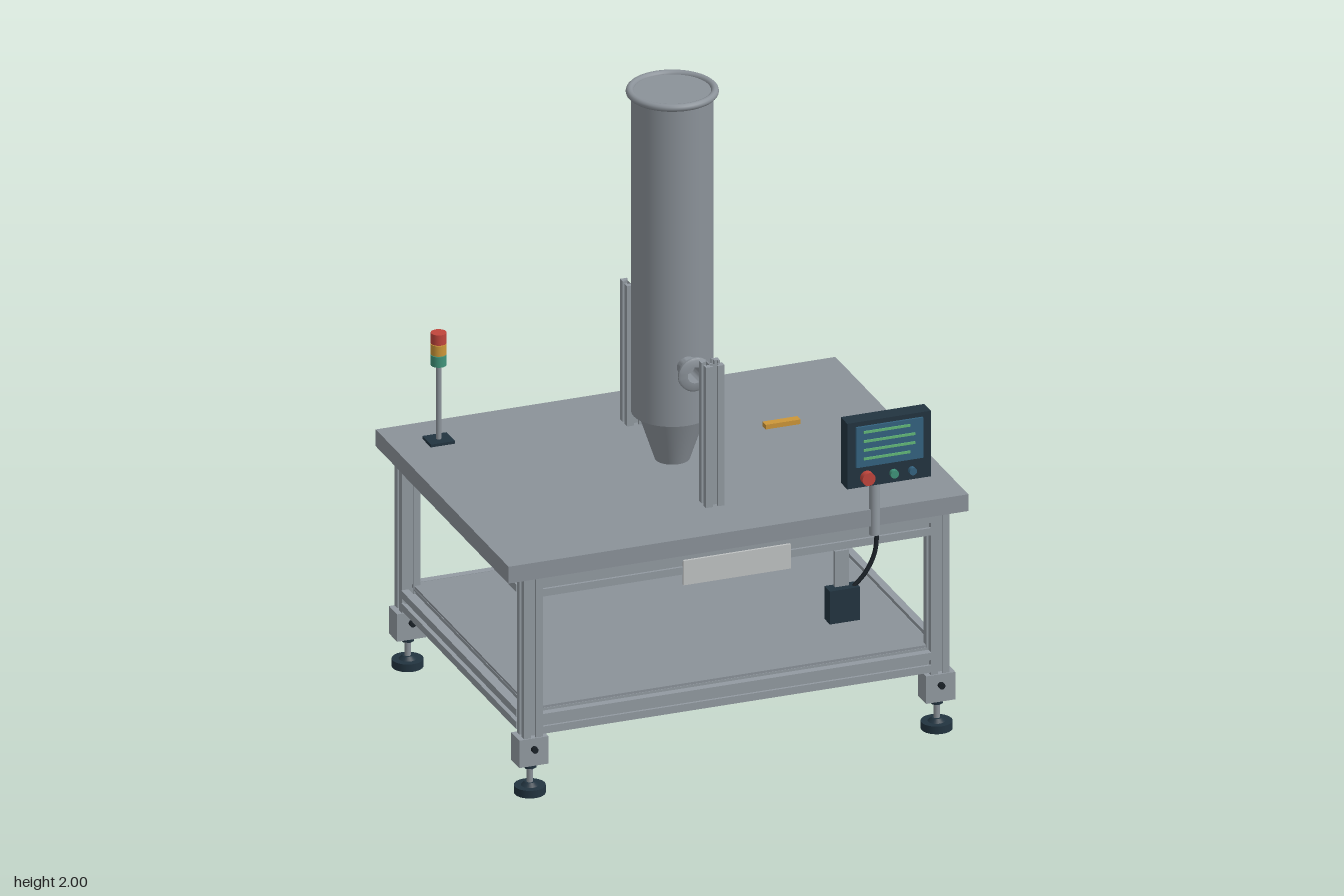
import * as THREE from 'three';
import { toCreasedNormals } from 'three/addons/utils/BufferGeometryUtils.js';

const mat = (name, color) => {
  const m = new THREE.MeshStandardMaterial({ color });
  m.name = name;
  return m;
};

export function createModel() {
  const aluminium = mat('aluminium', 0x929aa1);
  const steel = mat('steel', 0x8b9299);
  const dark = mat('dark plastic', 0x223440);
  const blue = mat('cabinet blue', 0x33627f);
  const pale = mat('pale panel', 0xbfc2c2);
  const red = mat('signal red', 0xc0453c);
  const amber = mat('signal amber', 0xcc9638);
  const green = mat('signal green', 0x3f9379);
  const lime = mat('display green', 0x62b878);
  const black = mat('black', 0x1a2127);

  const root = new THREE.Group();
  const add = (name, geo, m, x = 0, y = 0, z = 0, parent = root) => {
    const mesh = new THREE.Mesh(geo, m);
    mesh.name = name;
    mesh.position.set(x, y, z);
    parent.add(mesh);
    return mesh;
  };
  // box given by its min and max on each axis
  const box = (name, m, x0, x1, y0, y1, z0, z1) =>
    add(name, new THREE.BoxGeometry(x1 - x0, y1 - y0, z1 - z0), m,
      (x0 + x1) / 2, (y0 + y1) / 2, (z0 + z1) / 2);
  // upright cylinder between two heights
  const cyl = (name, m, rTop, rBottom, x, y0, y1, z, sides = 32) =>
    add(name, new THREE.CylinderGeometry(rTop, rBottom, y1 - y0, sides), m, x, (y0 + y1) / 2, z);
  // short cylinder facing the front or back
  const knob = (name, m, r, x, y, z0, z1) => {
    const k = add(name, new THREE.CylinderGeometry(r, r, z1 - z0, 24), m, x, y, (z0 + z1) / 2);
    k.rotation.x = Math.PI / 2;
    return k;
  };

  // slotted extrusion: one slot on each of four sides and a centre bore
  const profileShape = (size) => {
    const h = size / 2, a = size * 0.13, b = size * 0.22, d = h * 0.76, e = h * 0.42;
    const side = [[-h, h], [-a, h], [-a, d], [-b, d], [-b, e], [b, e], [b, d], [a, d], [a, h]];
    const pts = [];
    for (let i = 0; i < 4; i++) {
      const c = Math.cos(-i * Math.PI / 2), s = Math.sin(-i * Math.PI / 2);
      for (const [x, y] of side) pts.push(new THREE.Vector2(x * c - y * s, x * s + y * c));
    }
    const shape = new THREE.Shape(pts);
    shape.holes.push(new THREE.Path().absarc(0, 0, size * 0.07, 0, Math.PI * 2, true));
    return shape;
  };
  const beam = (name, axis, length, x, y, z, size = 0.06) => {
    const g = new THREE.ExtrudeGeometry(profileShape(size),
      { depth: length, bevelEnabled: false, curveSegments: 4 });
    g.translate(0, 0, -length / 2);
    if (axis === 'x') g.rotateY(Math.PI / 2);
    if (axis === 'y') g.rotateX(Math.PI / 2);
    return add(name, g, aluminium, x, y, z);
  };

  // table top, frame and shelf
  const zF = 0.437, zB = -0.57, zMid = (zF + zB) / 2, xLeg = 0.655;
  box('tableTop', steel, -0.74, 0.74, 0.715, 0.77, -0.615, 0.48);
  for (const y of [0.682, 0.232]) {
    for (const z of [zF, zB]) beam('longRail', 'x', 1.25, 0, y, z, 0.065);
    for (const x of [-xLeg, xLeg]) beam('sideRail', 'z', zF - zB - 0.06, x, y, zMid, 0.065);
  }
  box('shelf', steel, -0.645, 0.645, 0.26, 0.272, zB + 0.01, zF - 0.01);

  // legs with levelling feet
  for (const x of [-xLeg, xLeg]) for (const z of [zF, zB]) {
    beam('leg', 'y', 0.6, x, 0.415, z);
    box('footBracket', aluminium, x - 0.047, x + 0.047, 0.1, 0.19, z - 0.033, z + 0.034);
    knob('bracketBolt', black, 0.01, x, 0.155, z + 0.03, z + 0.047);
    cyl('footRod', steel, 0.01, 0.01, x, 0.02, 0.1, z, 16);
    cyl('footNut', dark, 0.02, 0.02, x, 0.083, 0.095, z, 6);
    cyl('footCollar', dark, 0.016, 0.028, x, 0.024, 0.036, z, 24);
    cyl('footPad', dark, 0.048, 0.048, x, 0, 0.025, z);
  }

  // hopper with outlet cone, rim and side port
  const zH = -0.065;
  cyl('hopperBody', steel, 0.124, 0.124, 0, 0.94, 1.99, zH, 64);
  cyl('hopperCone', steel, 0.105, 0.053, 0, 0.785, 0.94, zH, 64);
  const rim = add('hopperRim', new THREE.TorusGeometry(0.128, 0.012, 12, 64), steel, 0, 1.988, zH);
  rim.rotation.x = Math.PI / 2;
  const portProfile = [[0.026, 0.01], [0.026, 0], [0.032, 0], [0.032, 0.066], [0.048, 0.066], [0.054, 0.07],
    [0.054, 0.078], [0.048, 0.082], [0.026, 0.082], [0.026, 0.01]].map(p => new THREE.Vector2(...p));
  const port = add('hopperPort', toCreasedNormals(new THREE.LatheGeometry(portProfile, 40), 0.7),
    steel, 0, 1.135, 0.048);
  port.rotation.x = Math.PI / 2;

  // upright posts in front of and behind the hopper
  for (const z of [0.26, -0.39]) beam('post', 'y', 0.46, 0, 1.0, z);

  // small sensor bar
  box('sensorBar', amber, 0.23, 0.342, 0.915, 0.93, 0.09, 0.117);

  // signal tower
  const tx = -0.596, tz = -0.465;
  box('towerBase', dark, tx - 0.039, tx + 0.039, 0.77, 0.779, tz - 0.035, tz + 0.035);
  cyl('towerPole', steel, 0.008, 0.008, tx, 0.779, 1.02, tz, 16);
  [green, amber, red].forEach((m, i) =>
    cyl('towerLight', m, 0.024, 0.024, tx, 1.021 + i * 0.036, 1.055 + i * 0.036, tz, 24));

  // control panel with display and buttons
  box('panelHousing', dark, 0.308, 0.577, 0.9, 1.115, 0.535, 0.589);
  box('display', blue, 0.335, 0.55, 0.968, 1.1, 0.587, 0.596);
  [[0.15, 1.082], [0.165, 1.052], [0.165, 1.023], [0.15, 0.995]].forEach(([w, y]) =>
    box('displayLine', lime, 0.358, 0.358 + w, y - 0.004, y + 0.004, 0.594, 0.599));
  knob('stopButton', red, 0.021, 0.37, 0.931, 0.587, 0.61);
  knob('startButton', green, 0.013, 0.456, 0.931, 0.587, 0.604);
  knob('modeButton', blue, 0.012, 0.515, 0.931, 0.587, 0.604);
  cyl('panelPole', aluminium, 0.017, 0.017, 0.441, 0.685, 0.955, 0.472, 24);

  // front plate, switch box and its cable
  box('frontPlate', pale, -0.175, 0.17, 0.617, 0.697, 0.468, 0.477);
  box('switchBracket', aluminium, 0.316, 0.36, 0.52, 0.645, 0.455, 0.468);
  box('switchBox', dark, 0.29, 0.387, 0.42, 0.528, 0.447, 0.492);
  const cable = new THREE.CatmullRomCurve3([[0.37, 0.52, 0.472], [0.41, 0.565, 0.476],
    [0.44, 0.625, 0.476], [0.45, 0.7, 0.472]].map(p => new THREE.Vector3(...p)));
  add('cable', new THREE.TubeGeometry(cable, 24, 0.007, 10), black);

  // electrical cabinet with rear door, louvres and latch
  box('cabinet', blue, 0.115, 0.533, 0.306, 0.64, -0.592, -0.37);
  box('cabinetDoor', pale, 0.127, 0.521, 0.32, 0.626, -0.599, -0.59);
  for (let i = 0; i < 6; i++) {
    const y = 0.4 + i * 0.023;
    box('louvre', black, 0.23, 0.4, y, y + 0.009, -0.602, -0.598);
  }
  knob('doorLatch', black, 0.013, 0.472, 0.475, -0.61, -0.598);

  return root;
}
